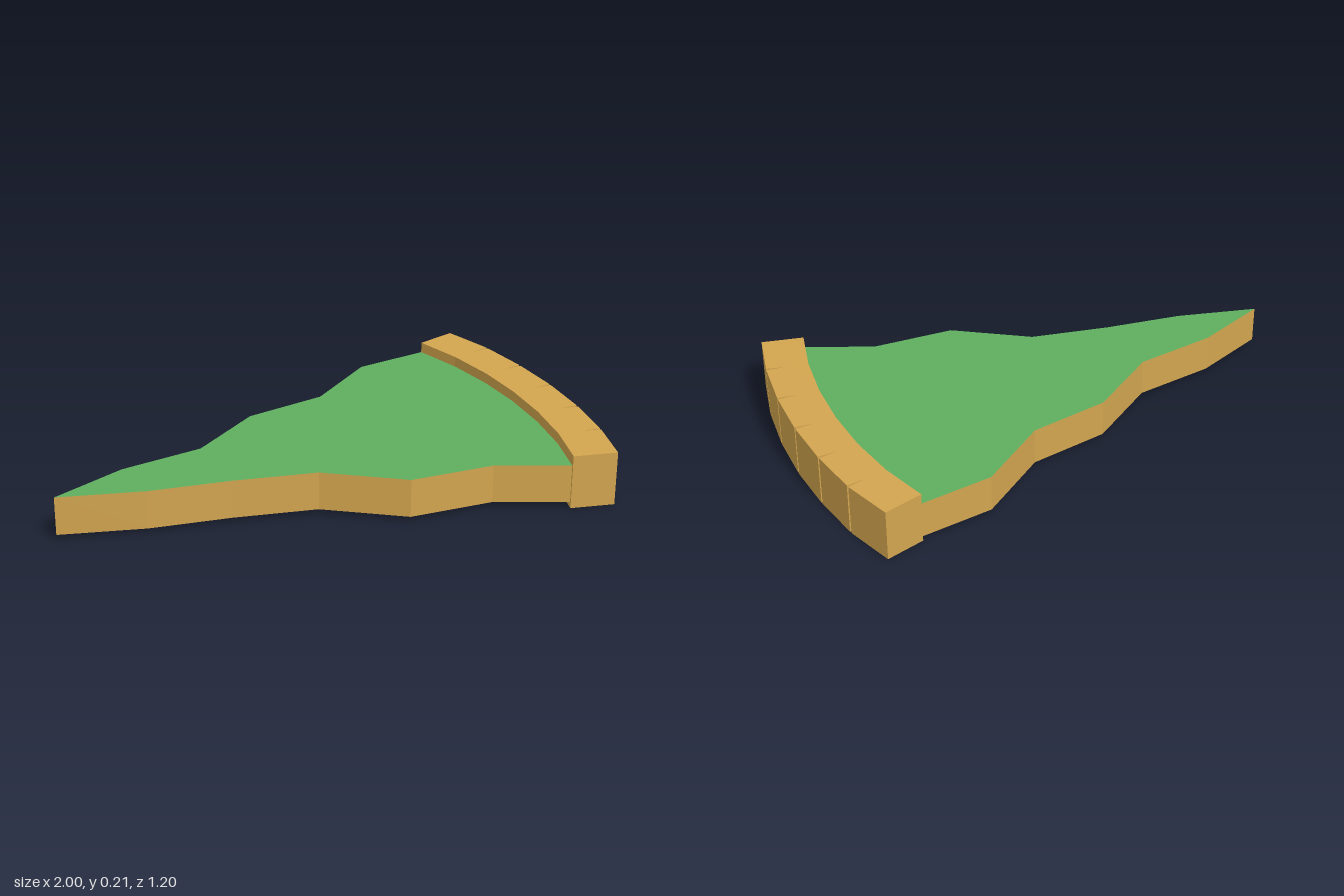
import * as THREE from 'three';

const green = new THREE.MeshStandardMaterial({ name: 'green topping', color: 0x5fae5f });
const tan = new THREE.MeshStandardMaterial({ name: 'baked crust', color: 0xd2a54f });

// Extrudes a plan outline of [x, z] points upward from y0 to y1.
function slab(name, outline, y0, y1, material) {
  const shape = new THREE.Shape(outline.map(([x, z]) => new THREE.Vector2(x, -z)));
  const geometry = new THREE.ExtrudeGeometry(shape, { depth: y1 - y0, bevelEnabled: false });
  geometry.rotateX(-Math.PI / 2);
  geometry.translate(0, y0, 0);
  const mesh = new THREE.Mesh(geometry, material);
  mesh.name = name;
  return mesh;
}

export function createModel() {
  const group = new THREE.Group();
  group.name = 'slice';

  // Inner and outer arcs of the rim, back to front
  const inner = [[0.483, -0.515], [0.59, -0.355], [0.678, -0.18], [0.745, 0], [0.795, 0.19], [0.825, 0.38], [0.833, 0.571]];
  const outer = [[0.617, -0.6], [0.735, -0.428], [0.826, -0.241], [0.9, -0.045], [0.954, 0.157], [0.988, 0.363], [0.998, 0.562]];

  // Wavy-edged slice: green faces, baked edge
  const backEdge = [[-1, 0.565], [-0.76, 0.38], [-0.47, 0.25], [-0.265, 0], [0.02, -0.14], [0.22, -0.4]];
  const frontEdge = [[0.555, 0.525], [0.245, 0.597], [-0.07, 0.497], [-0.38, 0.52], [-0.68, 0.56]];
  const arc = inner.map(([x, z], i) => (i === 6 ? [x, 0.563] : [x, z]));
  group.add(slab('sliceBody', [...backEdge, ...arc, ...frontEdge], 0.02, 0.167, [green, tan]));

  // Raised rim with narrow wedge notches cut into the outer corners
  const rim = [];
  outer.forEach(([x, z], i) => {
    if (i === 0 || i === outer.length - 1) {
      rim.push([x, z]);
      return;
    }
    const [ix, iz] = inner[i];
    const length = Math.hypot(x - ix, z - iz);
    const dx = (x - ix) / length, dz = (z - iz) / length;
    const half = 0.005, depth = 0.075;
    rim.push([x + dz * half, z - dx * half]);
    rim.push([x - dx * depth, z - dz * depth]);
    rim.push([x - dz * half, z + dx * half]);
  });
  group.add(slab('crustRim', [...rim, ...[...inner].reverse()], 0, 0.208, tan));

  return group;
}
